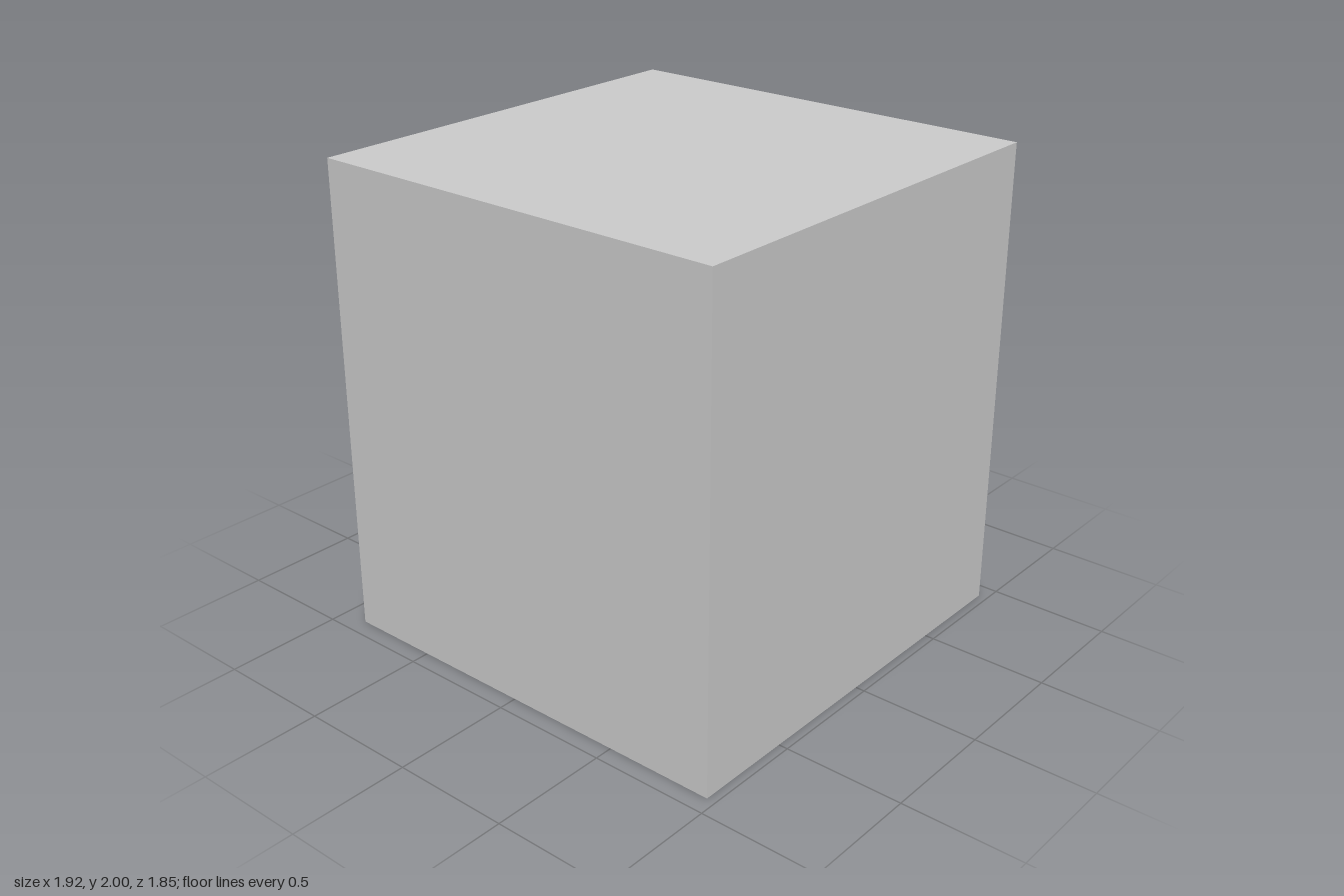
import * as THREE from 'three';

const material = new THREE.MeshStandardMaterial({ color: 0xcccccc });
const DOOR_X = -0.88; // plane of the door face

// Round part standing out from the door face, axis along x
function disc(name, radius, xInner, xOuter, y) {
  const geometry = new THREE.CylinderGeometry(radius, radius, xInner - xOuter, 48);
  geometry.rotateZ(Math.PI / 2);
  const mesh = new THREE.Mesh(geometry, material);
  mesh.name = name;
  mesh.position.set((xInner + xOuter) / 2, y, 0);
  return mesh;
}

export function createModel() {
  const model = new THREE.Group();
  model.name = 'safe';

  // Plain cabinet
  const body = new THREE.Mesh(new THREE.BoxGeometry(1.843, 2, 1.846), material);
  body.name = 'body';
  body.position.set(0.04, 1, 0);
  model.add(body);

  // Combination dial: wide plate with a smaller knob
  const dial = new THREE.Group();
  dial.name = 'dial';
  dial.add(disc('dialPlate', 0.163, DOOR_X, -0.916, 1.214));
  dial.add(disc('dialKnob', 0.071, -0.916, -0.962, 1.214));
  model.add(dial);

  // Three-spoke handle around a hub
  const handle = new THREE.Group();
  handle.name = 'handle';
  const hubY = 0.828;
  handle.add(disc('handleHub', 0.037, DOOR_X, -0.924, hubY));
  for (let i = 0; i < 3; i++) {
    const geometry = new THREE.CylinderGeometry(0.0145, 0.0145, 0.17, 24);
    geometry.translate(0, -0.085, 0);
    const spoke = new THREE.Mesh(geometry, material);
    spoke.name = 'handleSpoke' + (i + 1);
    spoke.position.set(-0.911, hubY, 0);
    spoke.rotation.x = (i * Math.PI * 2) / 3;
    handle.add(spoke);
  }
  model.add(handle);

  return model;
}
